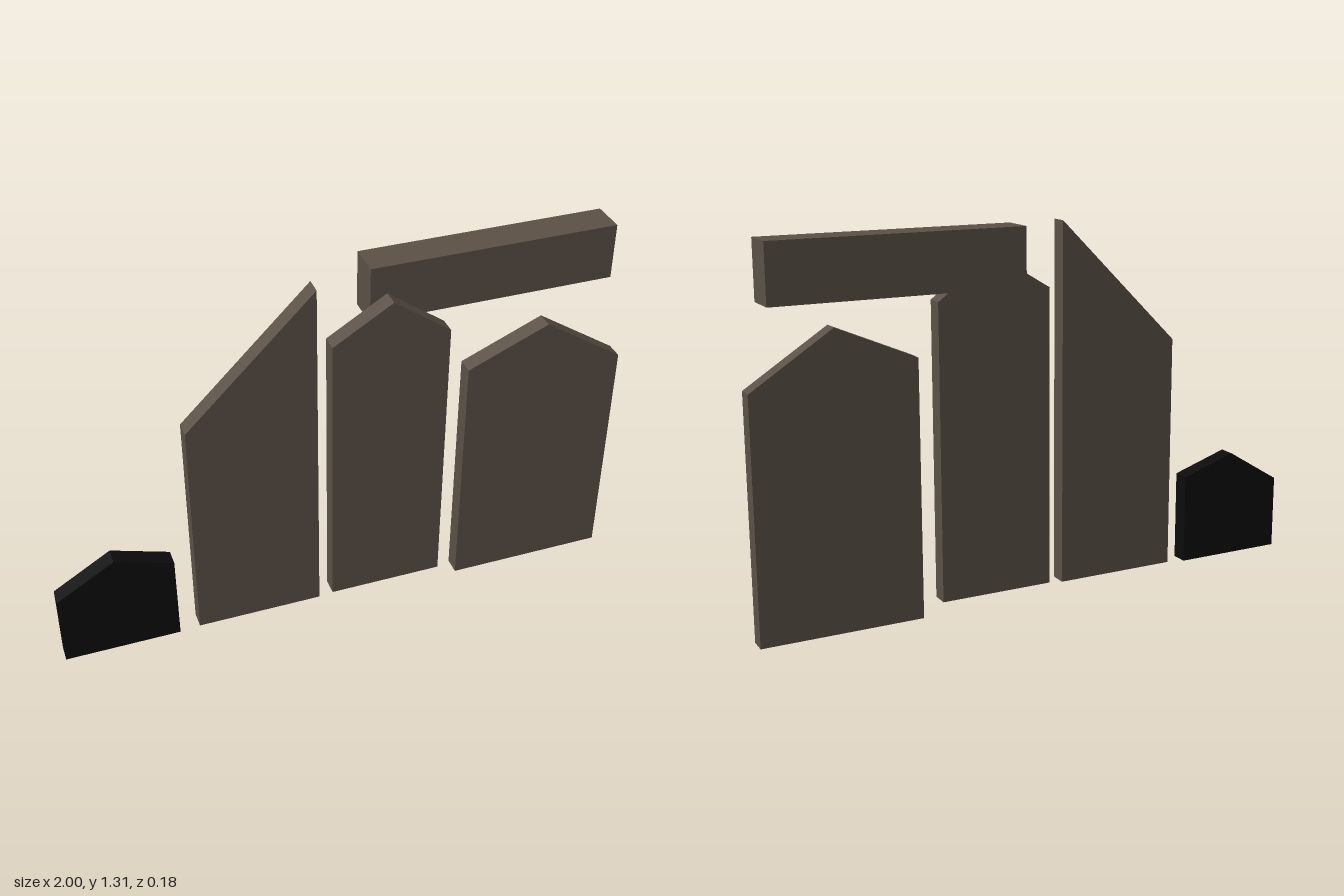
import * as THREE from 'three';

export function createModel() {
  const group = new THREE.Group();
  group.name = 'brokenPlanks';

  const wood = new THREE.MeshStandardMaterial({ color: 0x5c5147 });
  wood.name = 'brown wood';
  const charred = new THREE.MeshStandardMaterial({ color: 0x0c0c0c });
  charred.name = 'charred black';

  const plankBack = 0.03, plankThickness = 0.06;

  // Upright plank: outline in x/y, extruded towards the front
  function addPlank(name, outline, material) {
    const shape = new THREE.Shape(outline.map(([x, y]) => new THREE.Vector2(x, y)));
    const geometry = new THREE.ExtrudeGeometry(shape, { depth: plankThickness, bevelEnabled: false });
    const mesh = new THREE.Mesh(geometry, material);
    mesh.position.z = plankBack;
    mesh.name = name;
    group.add(mesh);
  }

  // Short charred stub
  addPlank('charredStub', [[-1, 0.03], [-0.6, 0.03], [-0.6, 0.35], [-0.8, 0.415], [-1, 0.293]], charred);
  // Tall plank with a slanted top
  addPlank('slantedPlank', [[-0.53, 0.037], [-0.09, 0.037], [-0.09, 1.305], [-0.53, 0.867]], wood);
  // Pointed planks
  addPlank('middlePlank', [[-0.04, 0.043], [0.365, 0.043], [0.365, 1.066], [0.165, 1.21], [-0.04, 1.085]], wood);
  addPlank('leftPlank', [[0.437, 0], [1, 0], [1, 0.83], [0.718, 1.013], [0.437, 0.892]], wood);

  // Horizontal beam behind the planks
  const beam = new THREE.Mesh(new THREE.BoxGeometry(0.857, 0.195, 0.12), wood);
  beam.position.set(0.536, 1.21, -0.03);
  beam.name = 'crossBeam';
  group.add(beam);

  return group;
}
